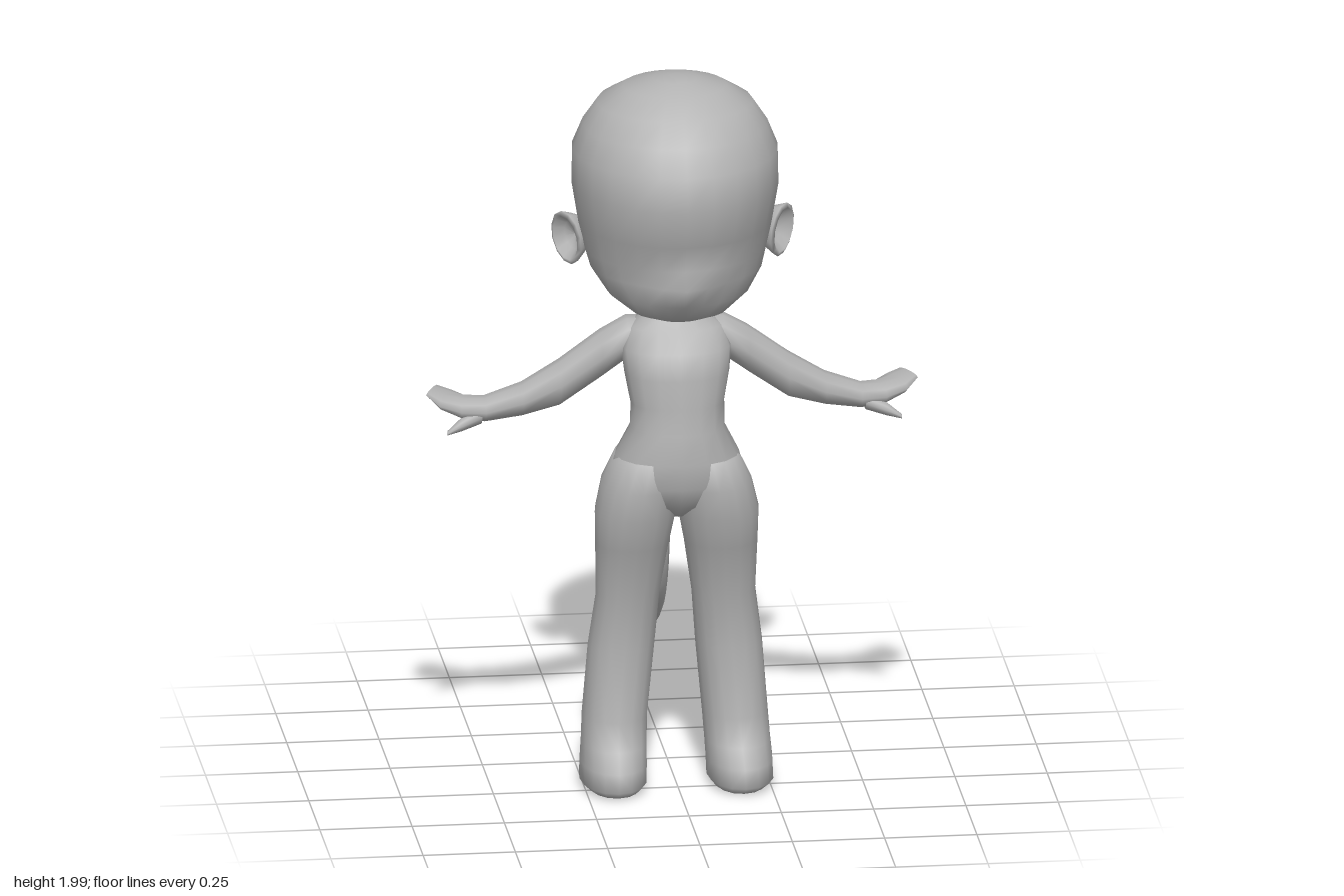
import * as THREE from 'three';

const grey = new THREE.MeshStandardMaterial({ color: 0xb2b2b2 });
grey.name = 'clay grey';

// Closed smooth skin over a list of rings of equal length
function loft(rings) {
  const n = rings[0].length, pos = [], idx = [];
  rings.forEach(r => r.forEach(p => pos.push(...p)));
  for (let i = 0; i < rings.length - 1; i++) {
    for (let j = 0; j < n; j++) {
      const a = i * n + j, b = i * n + (j + 1) % n;
      idx.push(a, a + n, b, b, a + n, b + n);
    }
  }
  // end caps as fans
  [0, rings.length - 1].forEach((k, end) => {
    const c = pos.length / 3, mid = [0, 0, 0];
    rings[k].forEach(p => p.forEach((v, m) => { mid[m] += v / n; }));
    pos.push(...mid);
    for (let j = 0; j < n; j++) {
      const a = k * n + j, b = k * n + (j + 1) % n;
      end ? idx.push(c, b, a) : idx.push(c, a, b);
    }
  });
  // turn the faces outward if the signed volume is negative
  let vol = 0;
  const A = new THREE.Vector3(), B = new THREE.Vector3(), C = new THREE.Vector3();
  for (let i = 0; i < idx.length; i += 3) {
    A.fromArray(pos, idx[i] * 3);
    B.fromArray(pos, idx[i + 1] * 3);
    C.fromArray(pos, idx[i + 2] * 3);
    vol += A.dot(B.cross(C));
  }
  if (vol < 0) idx.reverse();
  const g = new THREE.BufferGeometry();
  g.setAttribute('position', new THREE.Float32BufferAttribute(pos, 3));
  g.setIndex(idx);
  g.computeVertexNormals();
  return g;
}

const angles = n => Array.from({ length: n }, (_, i) => i / n * Math.PI * 2);
const pw = (v, e) => Math.sign(v) * Math.abs(v) ** e;

// Horizontal ring: height, left and right x, back and front z, widest z, centre bump
function level(y, x0, x1, zb, zf, zm = (zb + zf) / 2, bump = 0, n = 16, e = 0.92) {
  return angles(n).map(a => {
    const x = (x0 + x1) / 2 + (x1 - x0) / 2 * pw(Math.cos(a), e);
    const s = pw(Math.sin(a), e);
    const z = zm + s * (s > 0 ? zf - zm : zm - zb);
    return [x, y, z + (s > 0 ? bump * Math.exp(-((x / 0.09) ** 2)) : 0)];
  });
}

// Upright ring across an arm; skew slants its end
function slice(x, cy, cz, ry, rz, skew = 0) {
  return angles(10).map(a => [
    x + skew * rz * Math.cos(a), cy + ry * Math.sin(a), cz + rz * Math.cos(a)]);
}

export function createModel() {
  const model = new THREE.Group();
  model.name = 'figure';
  const add = (name, geometry, parent = model) => {
    const m = new THREE.Mesh(geometry, grey);
    m.name = name;
    parent.add(m);
    return m;
  };

  // Head: height, half width, back, front, widest z, muzzle bump
  add('head', loft([
    [1.355, 0.06, 0.25, 0.34, 0.30, 0], [1.375, 0.125, 0.2, 0.385, 0.29, 0],
    [1.42, 0.19, 0.08, 0.405, 0.25, 0.015], [1.48, 0.232, -0.02, 0.415, 0.21, 0.05],
    [1.525, 0.245, -0.065, 0.425, 0.19, 0.005], [1.6, 0.262, -0.1, 0.455, 0.18, 0],
    [1.71, 0.28, -0.132, 0.49, 0.18, 0], [1.8, 0.278, -0.132, 0.465, 0.18, 0],
    [1.87, 0.25, -0.09, 0.425, 0.18, 0], [1.93, 0.21, -0.035, 0.37, 0.18, 0],
    [1.975, 0.14, 0.05, 0.3, 0.18, 0], [1.997, 0.06, 0.12, 0.24, 0.18, 0], [2, 0.02, 0.16, 0.2, 0.18, 0],
  ].map(([y, w, zb, zf, zm, b]) => level(y, -w, w, zb, zf, zm, b, 24, 1))));

  // Neck and torso: height, half width, back, front
  add('torso', loft([
    [0.78, 0.03, 0.16, 0.27], [0.82, 0.13, 0.12, 0.325], [0.88, 0.187, 0.08, 0.352],
    [0.95, 0.168, 0.085, 0.358], [1.03, 0.128, 0.115, 0.348], [1.1, 0.127, 0.135, 0.335],
    [1.18, 0.142, 0.12, 0.33], [1.25, 0.15, 0.1, 0.312], [1.3, 0.13, 0.1, 0.26],
    [1.335, 0.085, 0.11, 0.222], [1.37, 0.066, 0.118, 0.222], [1.46, 0.066, 0.12, 0.22],
  ].map(([y, w, zb, zf]) => level(y, -w, w, zb, zf))));

  // Tail: tapering tube with a rounded tip
  const path = new THREE.CatmullRomCurve3([
    [0.98, 0.13], [0.96, 0.04], [0.91, -0.02], [0.8, -0.105], [0.65, -0.15],
    [0.49, -0.195], [0.37, -0.275], [0.3, -0.375], [0.262, -0.465],
  ].map(([y, z]) => new THREE.Vector3(0, y, z)));
  add('tail', new THREE.TubeGeometry(path, 16, 0.028, 8));
  const tip = add('tailTip', new THREE.SphereGeometry(0.028, 8, 6));
  tip.position.set(0, 0.262, -0.465);

  // Paired limbs and ears
  for (const s of [1, -1]) {
    const side = s > 0 ? 'left' : 'right';
    const pair = (name, rings) => add(side + name, loft(
      rings.map(r => r.map(([x, y, z]) => [x * s, y, z]))));

    // Leg and foot: height, inner x, outer x, back, front
    pair('Leg', [
      [0.008, 0.1, 0.24, 0.08, 0.33], [0.03, 0.082, 0.262, 0.057, 0.36],
      [0.08, 0.08, 0.26, 0.06, 0.352], [0.13, 0.078, 0.256, 0.066, 0.315],
      [0.2, 0.074, 0.252, 0.07, 0.272], [0.4, 0.055, 0.236, 0.088, 0.265],
      [0.55, 0.043, 0.216, 0.117, 0.268], [0.7, 0.02, 0.22, 0.108, 0.318],
      [0.79, 0.003, 0.222, 0.095, 0.346], [0.87, 0.0, 0.203, 0.073, 0.353],
      [0.95, 0.0, 0.165, 0.09, 0.345],
    ].map(r => level(...r)));

    // Arm running into a flat hand
    pair('Arm', [
      slice(0.05, 1.28, 0.165, 0.04, 0.045), slice(0.13, 1.262, 0.162, 0.058, 0.066),
      slice(0.2, 1.215, 0.155, 0.065, 0.058), slice(0.31, 1.135, 0.147, 0.063, 0.052),
      slice(0.41, 1.09, 0.142, 0.045, 0.052), slice(0.51, 1.06, 0.125, 0.034, 0.048),
      slice(0.565, 1.062, 0.112, 0.03, 0.056, 0.2), slice(0.61, 1.078, 0.092, 0.02, 0.06, 0.4),
      slice(0.645, 1.098, 0.072, 0.008, 0.042, 0.5),
    ]);
    pair('Thumb', [
      slice(0.52, 1.045, 0.138, 0.022, 0.03), slice(0.575, 1.028, 0.16, 0.018, 0.02),
      slice(0.615, 1.01, 0.176, 0.006, 0.008),
    ]);

    // Ear: hollow cup opening outward and forward
    const cup = [[0, -0.06], [0.035, -0.055], [0.06, -0.01], [0.075, 0.025],
      [0.062, 0.03], [0.04, 0], [0, -0.012]].map(p => new THREE.Vector2(...p));
    const ear = add(side + 'Ear', new THREE.LatheGeometry(cup, 12));
    ear.geometry.rotateX(Math.PI / 2).scale(0.7, 1, 1);
    ear.position.set(s * 0.274, 1.55, 0.15);
    ear.rotation.set(0.1, s * 0.85, -s * 0.28);
  }
  return model;
}
